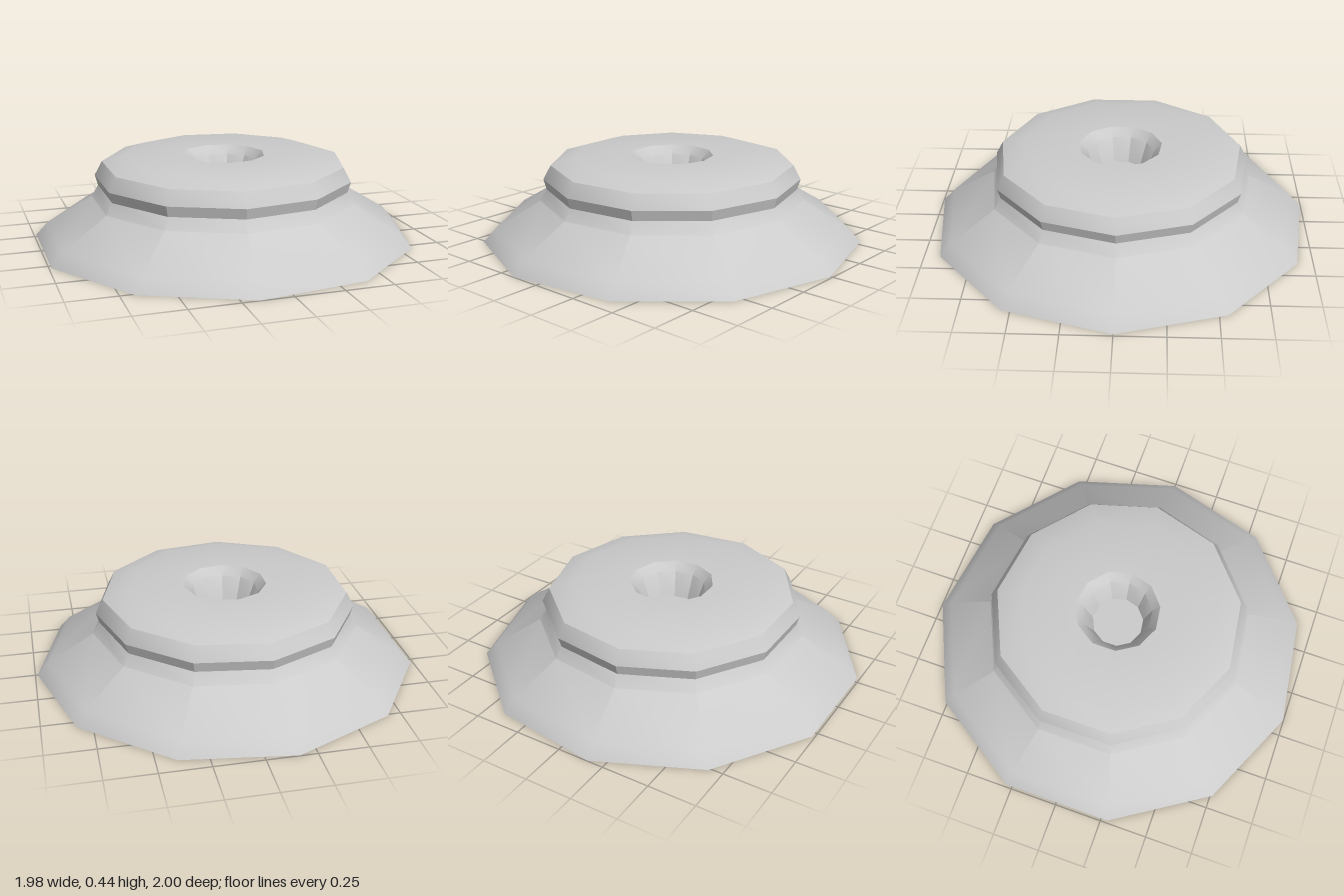
import * as THREE from 'three';
import { toCreasedNormals } from 'three/addons/utils/BufferGeometryUtils.js';

const SIDES = 11;

// Revolve a [radius, height] profile with one corner pointing along +x
function turned(name, profile, material) {
  const points = profile.map(([r, y]) => new THREE.Vector2(r, y));
  const lathe = new THREE.LatheGeometry(points, SIDES, Math.PI / 2);
  const mesh = new THREE.Mesh(toCreasedNormals(lathe, THREE.MathUtils.degToRad(30)), material);
  mesh.name = name;
  mesh.position.x = -0.02; // an odd-sided ring is off-centre in its bounding box
  return mesh;
}

export function createModel() {
  const group = new THREE.Group();
  group.name = 'pedestalBase';
  const material = new THREE.MeshStandardMaterial({ color: 0xcccccc });

  // Closed underside, flared skirt, waist, rounded collar and flat top
  group.add(turned('flaredBase', [
    [0, 0], [1.008, 0], [0.945, 0.07], [0.703, 0.215], [0.667, 0.275],
    [0.683, 0.33], [0.643, 0.405], [0.517, 0.443], [0.22, 0.443],
  ], material));

  // Recessed socket in the middle of the top
  group.add(turned('socket', [
    [0.22, 0.443], [0.18, 0.4], [0.135, 0.27], [0, 0.27],
  ], material));

  return group;
}
